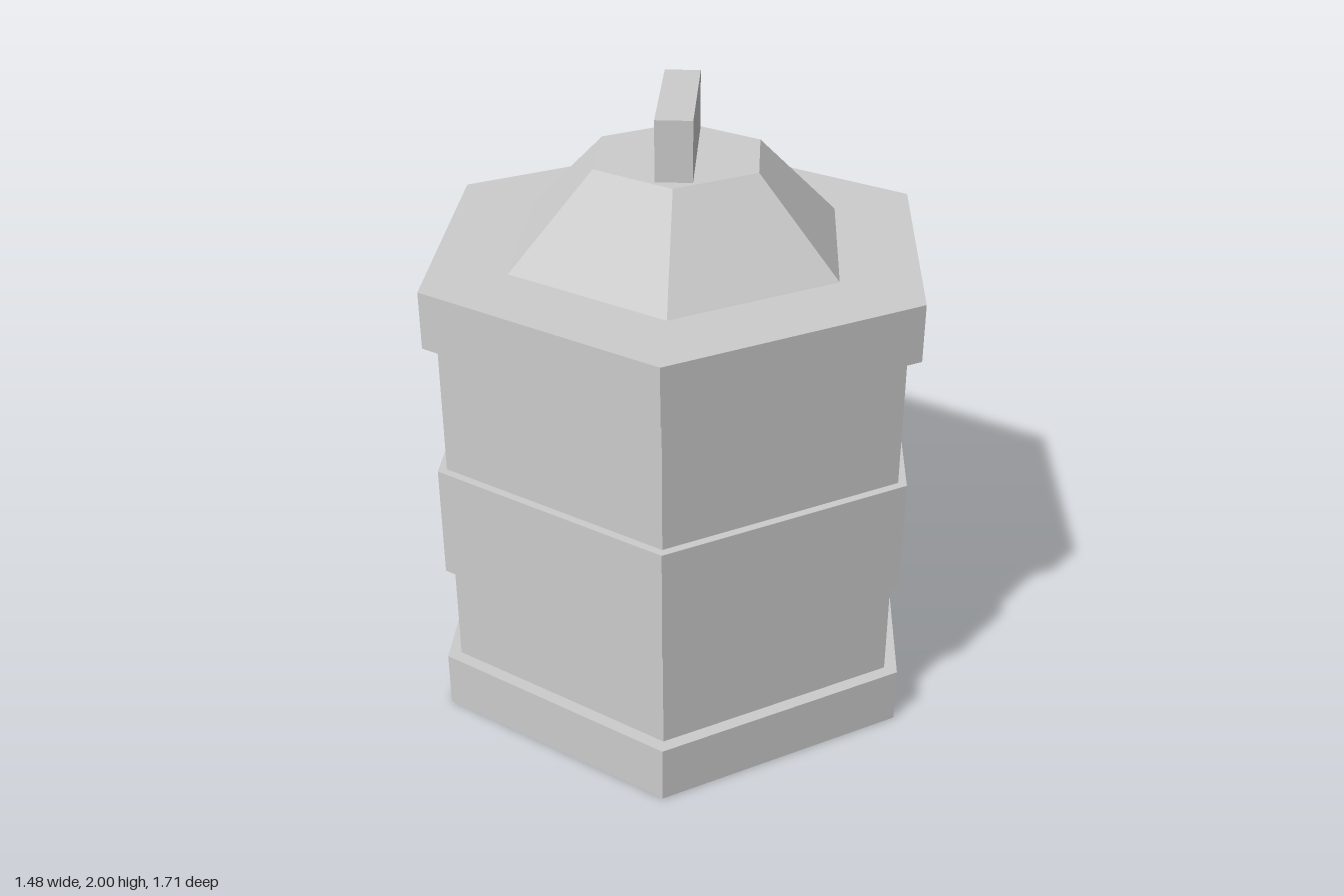
import * as THREE from 'three';

const material = new THREE.MeshStandardMaterial({ color: 0xcccccc, flatShading: true });

export function createModel() {
  const group = new THREE.Group();

  function add(name, geometry, x, y, z) {
    const mesh = new THREE.Mesh(geometry, material);
    mesh.name = name;
    mesh.position.set(x, y, z);
    group.add(mesh);
  }

  // Six-sided section with corners on the z axis
  function hexagon(name, bottomRadius, topRadius, y0, y1) {
    add(name, new THREE.CylinderGeometry(topRadius, bottomRadius, y1 - y0, 6), 0, (y0 + y1) / 2, 0);
  }

  // Stacked body
  hexagon('base', 0.857, 0.857, 0, 0.19);
  hexagon('lowerWall', 0.81, 0.81, 0.19, 0.53);
  hexagon('middleBand', 0.84, 0.84, 0.53, 0.905);
  hexagon('upperWall', 0.81, 0.81, 0.905, 1.34);
  hexagon('lid', 0.857, 0.857, 1.34, 1.525);

  // Tapered roof and its handle
  hexagon('roof', 0.573, 0.287, 1.525, 1.81);
  add('handle', new THREE.BoxGeometry(0.113, 0.19, 0.475), 0, 1.905, 0);

  // Bar through the back corner; only its two ends stand out of the walls
  add('backBar', new THREE.BoxGeometry(0.475, 0.055, 0.023), 0, 1.1, -0.733);

  return group;
}
